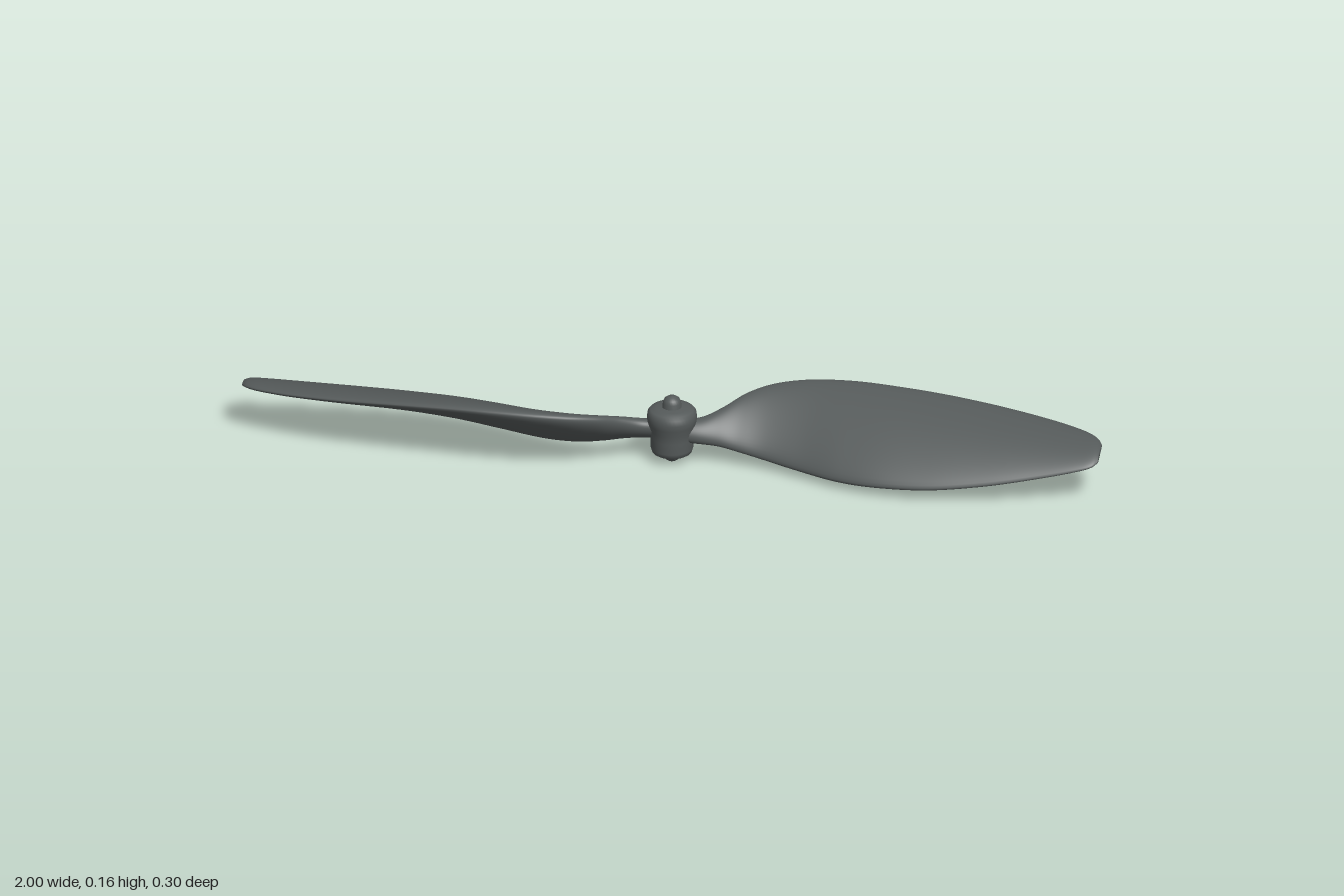
import * as THREE from 'three';

const grey = new THREE.MeshStandardMaterial({ color: 0x555a5a });
grey.name = 'dark grey plastic';

// Blade stations: x, leading edge z y, trailing edge z y, upper bulge, lower bulge
const stations = [
  [0.00, -0.022, 0.096, 0.022, 0.060, 0.023, 0.023],
  [0.06, -0.025, 0.099, 0.021, 0.056, 0.021, 0.021],
  [0.11, -0.052, 0.116, 0.016, 0.050, 0.020, 0.022],
  [0.16, -0.096, 0.136, 0.019, 0.040, 0.021, 0.025],
  [0.22, -0.128, 0.149, 0.030, 0.030, 0.024, 0.028],
  [0.30, -0.145, 0.157, 0.058, 0.023, 0.027, 0.029],
  [0.40, -0.147, 0.160, 0.100, 0.022, 0.030, 0.026],
  [0.50, -0.139, 0.158, 0.125, 0.026, 0.031, 0.020],
  [0.62, -0.126, 0.152, 0.133, 0.033, 0.031, 0.013],
  [0.75, -0.105, 0.142, 0.122, 0.048, 0.029, 0.008],
  [0.87, -0.075, 0.132, 0.102, 0.067, 0.024, 0.006],
  [0.95, -0.045, 0.125, 0.086, 0.082, 0.018, 0.006],
  [0.985, -0.022, 0.120, 0.075, 0.090, 0.013, 0.005],
  [1.00, 0.000, 0.114, 0.060, 0.097, 0.007, 0.002],
];

// Twisted blade with a rounded lens section, lofted along +x
function bladeGeometry(rings = 96, sides = 40) {
  const spline = (f) => new THREE.CatmullRomCurve3(
    stations.map((s) => new THREE.Vector3(...f(s))), false, 'catmullrom', 0.5);
  const lead = spline((s) => [s[0], s[2], s[1]]);
  const trail = spline((s) => [s[0], s[4], s[3]]);
  const shape = spline((s) => [s[0], s[5], s[6]]);
  const pos = [], index = [];
  for (let i = 0; i <= rings; i++) {
    const a = lead.getPoint(i / rings);
    const b = trail.getPoint(i / rings);
    const { y: upper, z: lower } = shape.getPoint(i / rings);
    const chord = b.clone().sub(a);
    const normal = new THREE.Vector3(0, chord.z, -chord.y).normalize();
    const camber = (upper - lower) / 2, half = (upper + lower) / 2;
    for (let j = 0; j < sides; j++) {
      const t = (j / sides) * Math.PI * 2;
      const u = (1 - Math.cos(t)) / 2;
      const v = camber * 4 * u * (1 - u) + half * Math.sin(t);
      const p = a.clone().addScaledVector(chord, u).addScaledVector(normal, v);
      pos.push(p.x, p.y, p.z);
      if (i < rings) {
        const k = i * sides + j, n = i * sides + ((j + 1) % sides);
        index.push(k, n, k + sides, n, n + sides, k + sides);
      }
    }
  }
  // Tip cap
  const end = rings * sides;
  for (let j = 1; j < sides - 1; j++) index.push(end, end + j, end + j + 1);
  const g = new THREE.BufferGeometry();
  g.setAttribute('position', new THREE.Float32BufferAttribute(pos, 3));
  g.setIndex(index);
  g.computeVertexNormals();
  return g;
}

function lathe(name, points, sides) {
  const profile = points.map(([r, y]) => new THREE.Vector2(r, y));
  const mesh = new THREE.Mesh(new THREE.LatheGeometry(profile, sides), grey);
  mesh.name = name;
  return mesh;
}

export function createModel() {
  const model = new THREE.Group();
  model.name = 'propeller';

  // Two identical blades, half a turn apart
  const geometry = bladeGeometry();
  ['leftBlade', 'rightBlade'].forEach((name, i) => {
    const blade = new THREE.Mesh(geometry, grey);
    blade.name = name;
    blade.rotation.y = i * Math.PI;
    model.add(blade);
  });

  // Hub with a rounded cap, slight waist and recessed underside
  model.add(lathe('hub', [
    [0, 0.030], [0.028, 0.030], [0.032, 0.021], [0.040, 0.020], [0.046, 0.024],
    [0.049, 0.034], [0.049, 0.060], [0.051, 0.080], [0.056, 0.096], [0.058, 0.110],
    [0.056, 0.123], [0.050, 0.130], [0.036, 0.134], [0, 0.138],
  ], 40));

  // Shaft nuts above and below the hub
  model.add(lathe('topNut', [
    [0.023, 0.132], [0.021, 0.146], [0.018, 0.155], [0.010, 0.161], [0, 0.163],
  ], 24));
  model.add(lathe('bottomNut', [
    [0, 0], [0.011, 0.001], [0.017, 0.006], [0.021, 0.014], [0.025, 0.032],
  ], 24));
  return model;
}
